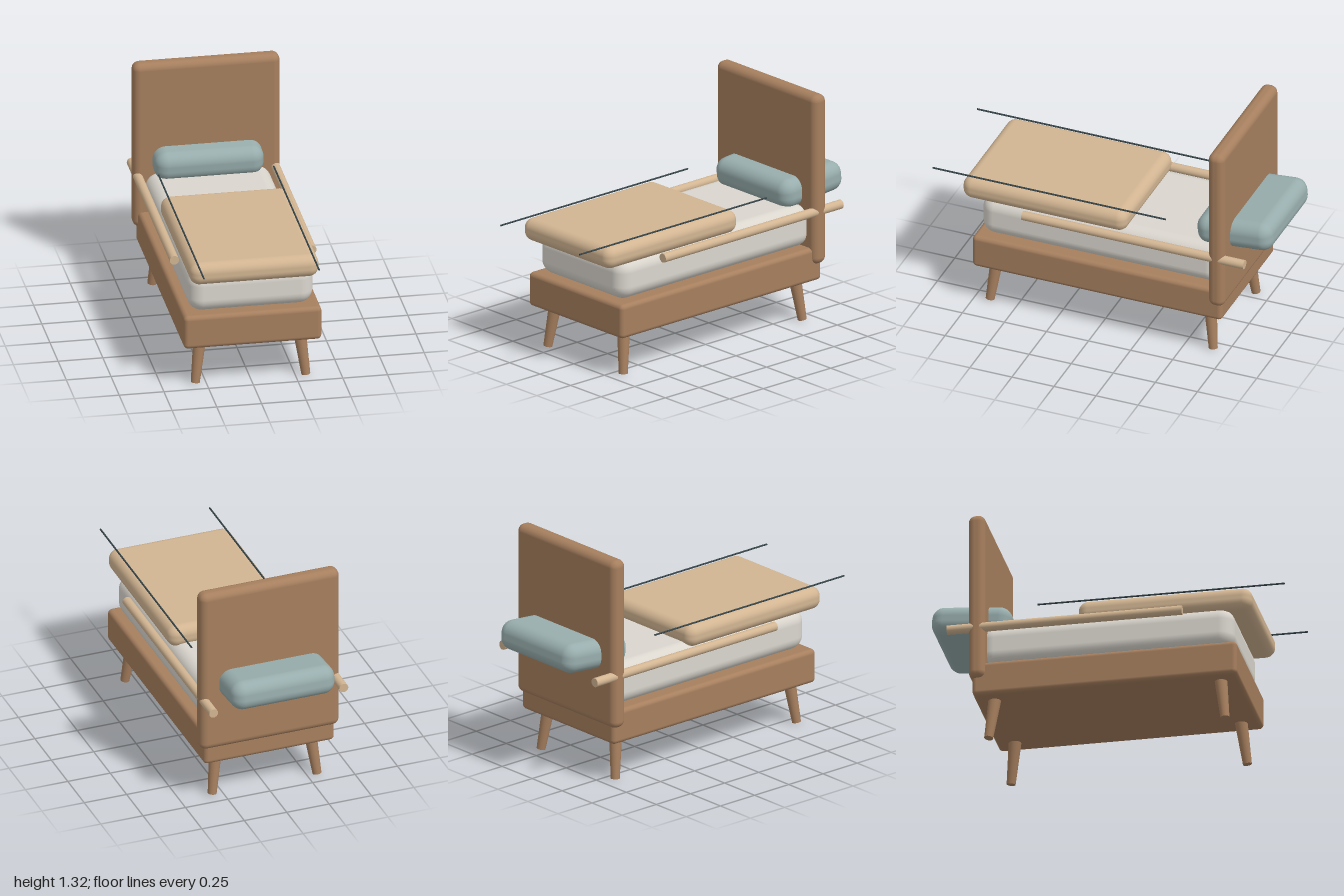
import * as THREE from 'three';
import { RoundedBoxGeometry } from 'three/addons/geometries/RoundedBoxGeometry.js';

const material = (name, color) => {
  const m = new THREE.MeshStandardMaterial({ color });
  m.name = name;
  return m;
};

export function createModel() {
  const wood = material('brown wood', 0xa67f5e);
  const tan = material('tan', 0xd2b592);
  const linen = material('off white linen', 0xdad6ce);
  const teal = material('grey teal', 0x98adad);
  const dark = material('dark slate', 0x36454a);

  const bed = new THREE.Group();
  bed.name = 'bed';

  const add = (name, geometry, mat) => {
    const mesh = new THREE.Mesh(geometry, mat);
    mesh.name = name;
    bed.add(mesh);
    return mesh;
  };

  // Rounded block given by its extents on each axis
  const block = (name, mat, halfX, [y0, y1], [z0, z1], radius) => {
    const mesh = add(name, new RoundedBoxGeometry(halfX * 2, y1 - y0, z1 - z0, 5, radius), mat);
    mesh.position.set(0, (y0 + y1) / 2, (z0 + z1) / 2);
    return mesh;
  };

  // Round bar between two points, tapering from radius ra to rb
  const bar = (name, mat, a, b, ra, rb, sides = 24) => {
    const axis = new THREE.Vector3().subVectors(b, a);
    const mesh = add(name, new THREE.CylinderGeometry(rb, ra, axis.length(), sides), mat);
    mesh.position.addVectors(a, b).multiplyScalar(0.5);
    mesh.quaternion.setFromUnitVectors(new THREE.Vector3(0, 1, 0), axis.normalize());
    return mesh;
  };
  const v = (x, y, z) => new THREE.Vector3(x, y, z);

  // Frame, headboard and bedding
  block('base', wood, 0.385, [0.24, 0.436], [-0.742, 0.742], 0.025);
  block('headboard', wood, 0.411, [0.34, 1.325], [-0.761, -0.666], 0.04);
  block('mattress', linen, 0.35, [0.435, 0.675], [-0.71, 0.712], 0.08);
  block('blanket', tan, 0.36, [0.647, 0.776], [-0.157, 0.818], 0.055);

  // Pillow, tipped up toward the back
  const pillow = block('pillow', teal, 0.305, [0.664, 0.834], [-0.995, -0.545], 0.07);
  pillow.rotation.x = 0.085;

  for (const side of [1, -1]) {
    const label = side > 0 ? 'left' : 'right';
    // Side rail
    bar(label + 'Rail', tan, v(side * 0.384, 0.646, -0.88), v(side * 0.384, 0.646, 0.438), 0.026, 0.026);
    // Thin piping line along the blanket
    bar(label + 'Piping', dark, v(side * 0.322, 0.784, -0.385), v(side * 0.322, 0.784, 1), 0.005, 0.005, 8);
    // Splayed, tapered legs
    for (const end of [1, -1]) {
      bar(label + (end > 0 ? 'FrontLeg' : 'BackLeg'), wood,
        v(side * 0.309, 0.006, end * 0.663), v(side * 0.278, 0.26, end * 0.633), 0.025, 0.036);
    }
  }
  return bed;
}
